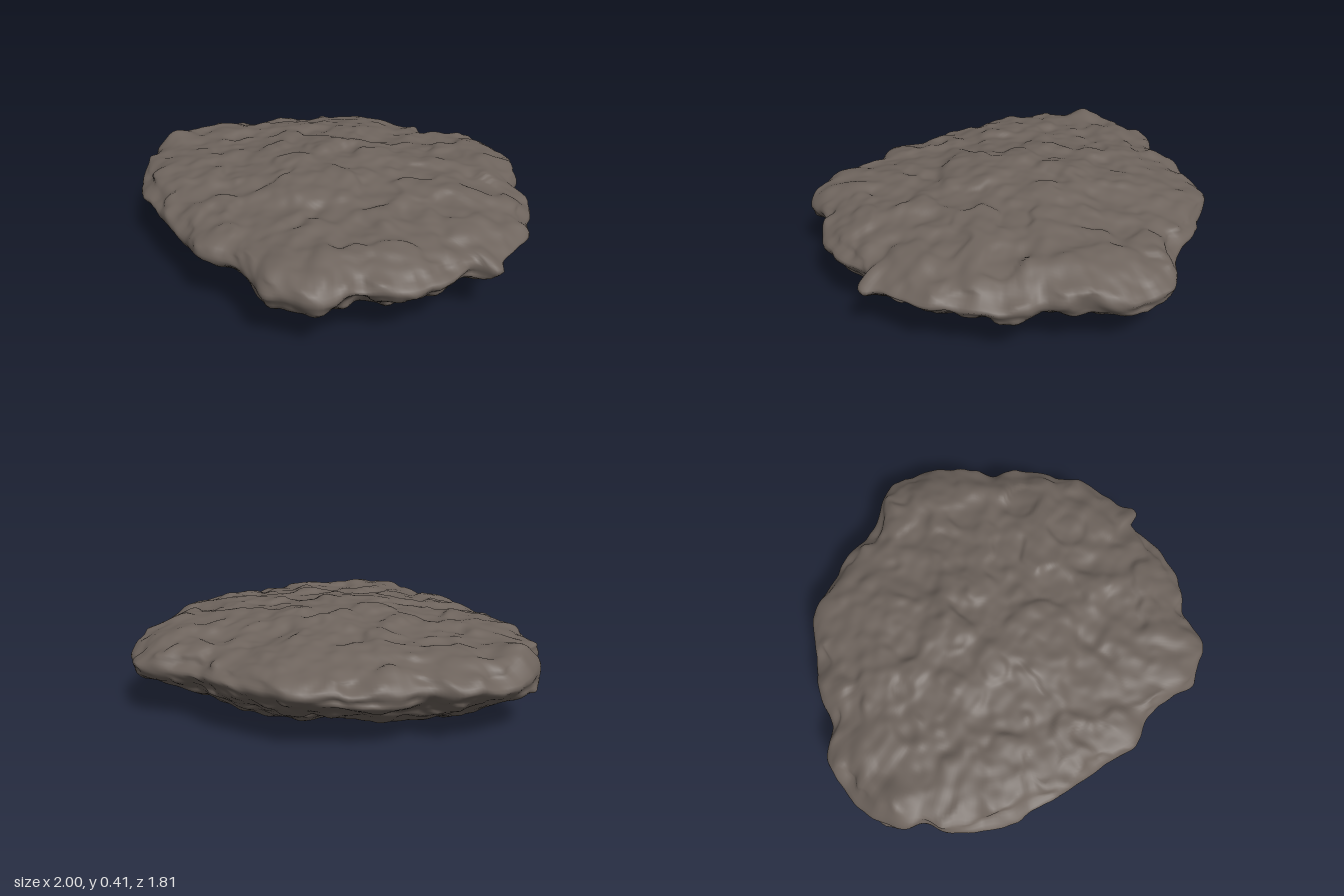
import * as THREE from 'three';

// Smooth seeded value noise in the range -1..1
function hash(x, y, z) {
  let h = (Math.imul(x, 374761393) + Math.imul(y, 668265263) + Math.imul(z, 1274126177)) | 0;
  h = Math.imul(h ^ (h >>> 13), 1103515245);
  h = Math.imul(h ^ (h >>> 15), 739982445);
  return ((h ^ (h >>> 16)) >>> 0) / 2147483648 - 1;
}
function noise(x, y, z) {
  const i = Math.floor(x), j = Math.floor(y), k = Math.floor(z);
  const s = (v) => v * v * (3 - 2 * v);
  const u = s(x - i), v = s(y - j), w = s(z - k), mix = THREE.MathUtils.lerp;
  const row = (b, c) => mix(hash(i, j + b, k + c), hash(i + 1, j + b, k + c), u);
  return mix(mix(row(0, 0), row(1, 0), v), mix(row(0, 1), row(1, 1), v), w);
}
const rough = (x, y, z) =>
  0.45 * noise(x * 5, y * 7, z * 5) + 0.5 * noise(x * 11 + 9, y * 12, z * 11) + 0.3 * noise(x * 21, y * 21 + 5, z * 21);
const bell = (d, width) => Math.exp(-((d / width) ** 2));
const { lerp, smoothstep } = THREE.MathUtils;

// Plan outline of the slab: x, z
const OUTLINE = [
  [0.97, 0], [0.975, 0.12], [1, 0.165], [0.985, 0.2], [0.91, 0.22], [0.88, 0.4], [0.82, 0.52], [0.72, 0.62],
  [0.64, 0.69], [0.58, 0.83], [0.48, 0.87], [0.37, 0.9], [0.27, 0.86], [0.13, 0.82], [-0.03, 0.845],
  [-0.17, 0.79], [-0.33, 0.74], [-0.5, 0.67], [-0.66, 0.6], [-0.75, 0.52], [-0.85, 0.38], [-0.87, 0.29],
  [-0.95, 0.24], [-0.98, 0.15], [-1, 0], [-0.97, -0.1], [-0.91, -0.24], [-0.77, -0.33], [-0.71, -0.45],
  [-0.64, -0.54], [-0.52, -0.65], [-0.44, -0.74], [-0.3, -0.77], [-0.2, -0.79], [-0.08, -0.825], [0.1, -0.81],
  [0.2, -0.85], [0.36, -0.9], [0.46, -0.86], [0.58, -0.75], [0.62, -0.66], [0.69, -0.59], [0.72, -0.51],
  [0.79, -0.47], [0.87, -0.35], [0.92, -0.2], [0.96, -0.14],
];

// Cross-section from the top centre, round the rim, to the bottom centre: radius fraction, y
const PROFILE = [
  [0, 0.418], [0.2, 0.408], [0.4, 0.387], [0.6, 0.369], [0.8, 0.35], [0.9, 0.33], [0.96, 0.302], [1, 0.262],
  [0.97, 0.218], [0.9, 0.17], [0.8, 0.11], [0.68, 0.062], [0.5, 0.043], [0.25, 0.043], [0, 0.048],
];

// Broad swellings and hollows of the top: x, z, spread, height
const LUMPS = [
  [-0.9, 0.13, 0.1, 0.05], [0.4, 0.74, 0.15, 0.012], [0.55, -0.45, 0.15, 0.014],
  [-0.02, 0.02, 0.1, 0.012], [0.93, 0.05, 0.17, -0.03], [0.78, -0.42, 0.1, -0.025],
];

function topRelief(x, z, r) {
  const inner = 1 - smoothstep(r, 0.85, 1);
  // Small worn ledges with curling edges
  const ledge = noise(x * 6 + 20, 0.5, z * 7) + 0.6 * noise(x * 13, 4.5, z * 13);
  let y = 0.022 * rough(x, 0.6, z) + 0.009 * inner * Math.tanh(ledge * 6);
  for (const [lx, lz, spread, height] of LUMPS) y += height * bell(Math.hypot(x - lx, z - lz), spread);
  // Curved groove that sets off the front corner
  const groove = x - 0.22 + 0.5 * Math.max(0, z - 0.55);
  return y - 0.014 * inner * bell(groove, 0.03) * bell(z - 0.5, 0.22);
}

function bottomRelief(x, z, r) {
  // A shallow hollow runs from front to back between the two low sides
  return 0.034 * rough(x, 7.3, z) + 0.016 * bell(x - 0.04, 0.14) * (1 - r * r);
}

function slabGeometry(around, rings) {
  const rim = new THREE.CatmullRomCurve3(OUTLINE.map(([x, z]) => new THREE.Vector3(x, 0, z)), true, 'centripetal')
    .getSpacedPoints(around).slice(0, around);
  // A smoothed outline for the body keeps the notches local to the rim
  const reach = 12;
  const body = rim.map((_, i) => {
    const mean = new THREE.Vector3();
    for (let d = -reach; d <= reach; d++) mean.add(rim[(i + d + around) % around]);
    return mean.divideScalar(2 * reach + 1);
  });
  const section = new THREE.CatmullRomCurve3(PROFILE.map(([r, y]) => new THREE.Vector3(r, y, 0)), false, 'centripetal')
    .getSpacedPoints(rings);
  const positions = [], index = [], spot = new THREE.Vector3();
  section.forEach(({ x: r, y: h }) => {
    // Blend from the underside to the top across the rim
    const upper = smoothstep(h, 0.21, 0.31);
    for (let i = 0; i < around; i++) {
      spot.lerpVectors(body[i], rim[i], smoothstep(r, 0.7, 1));
      // Uneven flanks, calmer along the widest line
      const side = smoothstep(r, 0.55, 0.85) * (1 - 0.7 * smoothstep(r, 0.95, 1));
      const s = r * (1 + side * 0.06 * rough(spot.x, h * 2, spot.z));
      const x = spot.x * s, z = spot.z * s;
      positions.push(x, h + lerp(bottomRelief(x, z, r), topRelief(x, z, r), upper), z);
    }
  });
  for (let j = 0; j < rings; j++) {
    for (let i = 0; i < around; i++) {
      const k = (i + 1) % around;
      const a = j * around + i, b = j * around + k, c = a + around, d = b + around;
      if (j > 0) index.push(a, b, c);
      if (j < rings - 1) index.push(b, d, c);
    }
  }
  const geometry = new THREE.BufferGeometry();
  geometry.setAttribute('position', new THREE.Float32BufferAttribute(positions, 3));
  geometry.setIndex(index);
  geometry.computeVertexNormals();
  // One shared normal at each centre
  const normals = geometry.attributes.normal;
  for (let i = 0; i < around; i++) {
    normals.setXYZ(i, 0, 1, 0);
    normals.setXYZ(rings * around + i, 0, -1, 0);
  }
  // Rest on the ground
  geometry.computeBoundingBox();
  geometry.translate(0, -geometry.boundingBox.min.y, 0);
  return geometry;
}

export function createModel() {
  const stone = new THREE.MeshStandardMaterial({ color: 0x6e645d });
  stone.name = 'warm grey stone';
  const slab = new THREE.Mesh(slabGeometry(320, 150), stone);
  slab.name = 'rockSlab';
  const group = new THREE.Group();
  group.name = 'flatRock';
  group.add(slab);
  return group;
}
